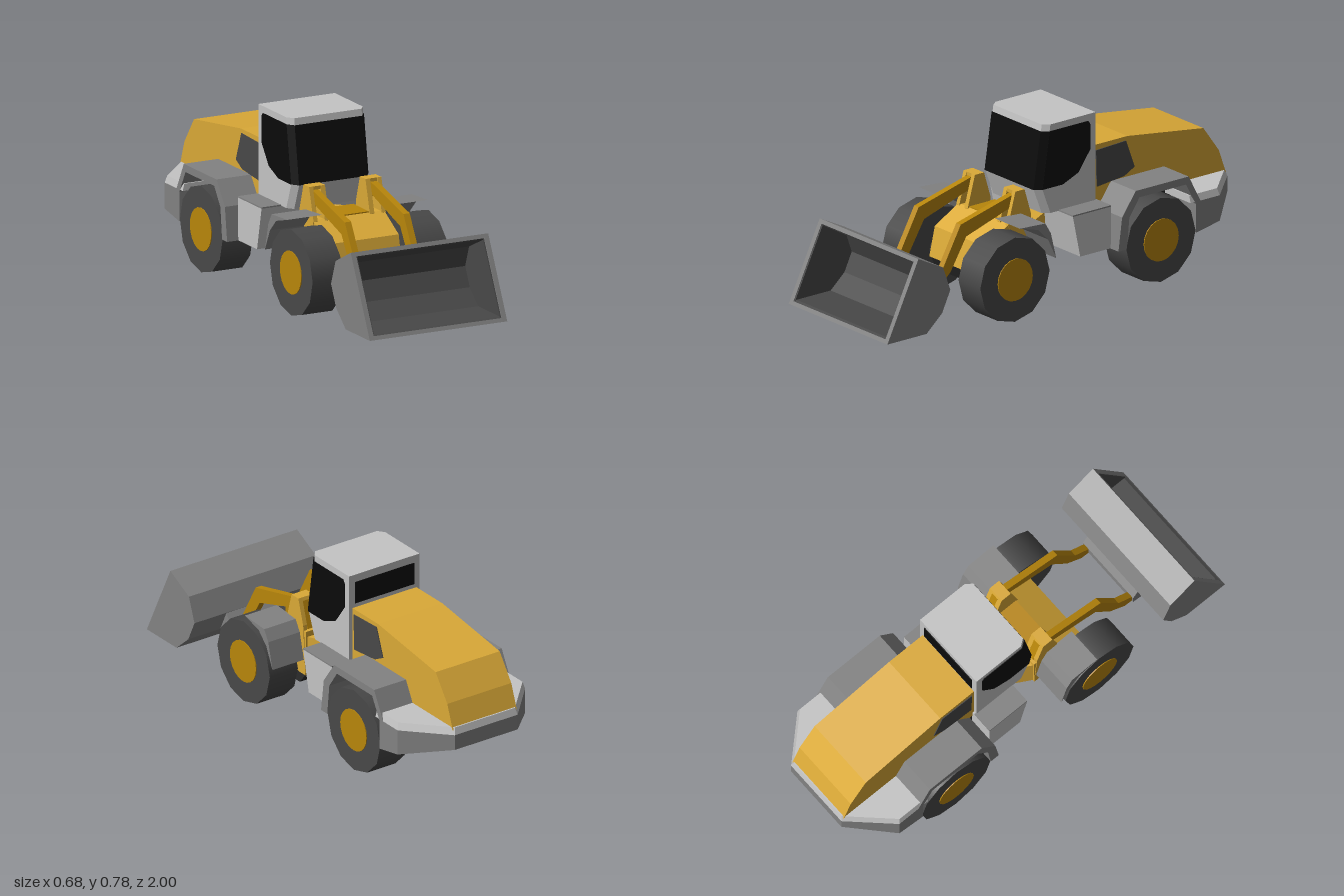
import * as THREE from 'three';
import { ConvexGeometry } from 'three/addons/geometries/ConvexGeometry.js';

const mat = (name, color) => {
  const m = new THREE.MeshStandardMaterial({ color });
  m.name = name;
  return m;
};

export function createModel() {
  const model = new THREE.Group();
  model.name = 'diggingTractor';
  const yellow = mat('bodyYellow', 0xdaa937);
  const gold = mat('darkGold', 0xb8860b);
  const light = mat('lightGrey', 0xc4c4c4);
  const grey = mat('midGrey', 0x828282);
  const dark = mat('tyreGrey', 0x484848);
  const under = mat('undersideGrey', 0x2c2c2c);
  const black = mat('glassBlack', 0x0b0b0b);

  const add = (name, geo, material) => {
    const m = new THREE.Mesh(geo, material);
    m.name = name;
    model.add(m);
    return m;
  };
  // Side profile of [z, y] points, extruded from x0 to x1
  const side = (name, pts, x0, x1, material) => {
    const s = new THREE.Shape(pts.map(p => new THREE.Vector2(...p)));
    const g = new THREE.ExtrudeGeometry(s, { depth: x1 - x0, bevelEnabled: false });
    return add(name, g.rotateY(-Math.PI / 2).translate(x1, 0, 0), material);
  };
  // Same profile on both sides of the machine
  const pair = (name, pts, x0, x1, material) => {
    side(name + 'Left', pts, x0, x1, material);
    side(name + 'Right', pts, -x1, -x0, material);
  };
  // Plan outline given as its left half of [x, z] points, extruded upwards
  const planGeo = (half, y0, y1) => {
    const pts = [...half, ...half.map(([x, z]) => [-x, z]).reverse()];
    const s = new THREE.Shape(pts.map(([x, z]) => new THREE.Vector2(x, -z)));
    return new THREE.ExtrudeGeometry(s, { depth: y1 - y0, bevelEnabled: false })
      .rotateX(-Math.PI / 2).translate(0, y0, 0);
  };
  const box = (name, x0, x1, y0, y1, z0, z1, material) =>
    add(name, new THREE.BoxGeometry(x1 - x0, y1 - y0, z1 - z0)
      .translate((x0 + x1) / 2, (y0 + y1) / 2, (z0 + z1) / 2), material);
  const drum = (name, r, n, x0, x1, z, material) =>
    add(name, new THREE.CylinderGeometry(r, r, x1 - x0, n).rotateZ(Math.PI / 2)
      .translate((x0 + x1) / 2, 0.19, z), material);

  // Wheels, hubs and axles
  for (const [end, z] of [['front', 0.3], ['rear', -0.5]]) {
    for (const s of [1, -1]) {
      const c = s * 0.2585;
      drum(end + 'Wheel', 0.19, 12, c - 0.0735, c + 0.0735, z, dark);
      const h = s * 0.332;
      drum(end + 'Hub', 0.095, 20, h - 0.004, h + 0.004, z, gold);
    }
    drum(end + 'Axle', 0.05, 12, -0.2, 0.2, z, under);
  }

  // Rear chassis, engine cover and side vents
  side('rearChassis', [[-0.1, 0.19], [-0.75, 0.18], [-0.75, 0.35], [-0.1, 0.36]], -0.164, 0.164, under);
  side('engineCover', [[-0.26, 0.34], [-0.99, 0.34], [-0.95, 0.45], [-0.866, 0.567],
    [-0.45, 0.625], [-0.26, 0.625]], -0.168, 0.168, yellow);
  pair('sideVent', [[-0.275, 0.6], [-0.44, 0.607], [-0.487, 0.48], [-0.43, 0.45], [-0.28, 0.435]],
    0.168, 0.172, dark);

  // Counterweight with a rising underside and a bevelled light rim
  const cw = planGeo([[0.335, -0.69], [0.335, -0.82], [0.165, -1]], 0.18, 0.32);
  const p = cw.attributes.position;
  for (let i = 0; i < p.count; i++) {
    if (p.getY(i) < 0.25) p.setY(i, 0.18 + 0.25 * Math.max(0, -0.72 - p.getZ(i)));
  }
  cw.computeVertexNormals();
  add('counterweight', cw, [under, grey]);
  const rim = [];
  for (const s of [1, -1]) {
    for (const [y, d] of [[0.32, 0], [0.352, 0.008]]) {
      for (const [x, z] of [[0.335, -0.66], [0.335, -0.82], [0.165, -1]]) {
        rim.push(new THREE.Vector3(s * (x - d), y, z < -0.7 ? z + d : z));
      }
    }
  }
  add('counterweightRim', new ConvexGeometry(rim), light);

  // Rear mudguards
  pair('rearMudguard', [[-0.265, 0.19], [-0.285, 0.34], [-0.36, 0.443], [-0.65, 0.443], [-0.72, 0.31],
    [-0.69, 0.31], [-0.635, 0.41], [-0.38, 0.41], [-0.325, 0.33], [-0.31, 0.19]], 0.165, 0.335, grey);

  // Cab base with step tops
  side('cabBase', [[-0.06, 0.378], [-0.1, 0.19], [-0.27, 0.19], [-0.27, 0.378]], -0.28, 0.28, light);
  pair('stepTop', [[-0.06, 0.384], [-0.06, 0.378], [-0.27, 0.378], [-0.27, 0.384]], 0.18, 0.28, grey);

  // Cab shell with chamfered front corners
  const cab = [];
  for (const s of [1, -1]) {
    for (const [y, zf] of [[0.38, 0.016], [0.495, 0.06], [0.78, 0.016]]) {
      cab.push(new THREE.Vector3(s * 0.185, y, -0.262), new THREE.Vector3(s * 0.185, y, zf - 0.03),
        new THREE.Vector3(s * 0.163, y, zf));
    }
  }
  add('cab', new ConvexGeometry(cab), light);

  // Cab glass
  const pane = [];
  for (const s of [1, -1]) {
    for (const [y, zf] of [[0.495, 0.06], [0.75, 0.021]]) {
      pane.push(new THREE.Vector3(s * 0.188, y, zf - 0.03), new THREE.Vector3(s * 0.165, y, zf + 0.003));
    }
  }
  add('windscreen', new ConvexGeometry(pane), black);
  pair('sideWindow', [[0.032, 0.495], [-0.008, 0.75], [-0.22, 0.75], [-0.23, 0.735], [-0.23, 0.62],
    [-0.165, 0.53], [-0.08, 0.495]], 0.184, 0.188, black);
  box('rearWindow', -0.155, 0.155, 0.645, 0.745, -0.266, -0.26, black);

  // Articulated joint and front frame
  add('joint', planGeo([[0.17, 0.08], [0.1, -0.045], [0.05, -0.1]], 0.17, 0.35), yellow);
  side('frontFrame', [[0.07, 0.375], [0.2, 0.375], [0.33, 0.3], [0.36, 0.17], [0.07, 0.17]],
    -0.172, 0.172, yellow);
  box('frameDeck', -0.1, 0.1, 0.373, 0.38, 0.06, 0.2, gold);
  side('frontChassis', [[0.08, 0.17], [0.36, 0.17], [0.33, 0.11], [0.13, 0.11]], -0.16, 0.16, under);

  // Front mudguards
  pair('frontMudguard', [[0.28, 0.418], [0.14, 0.41], [0.11, 0.36], [0.08, 0.24], [0.125, 0.335],
    [0.18, 0.39]], 0.172, 0.34, grey);

  // Lift towers: two cheeks, a back web and a cap, with the lift arms between
  const cheek = [[0.17, 0.515], [0.12, 0.515], [0.085, 0.4], [0.07, 0.17], [0.12, 0.17], [0.21, 0.37]];
  pair('towerOuterCheek', cheek, 0.155, 0.175, yellow);
  pair('towerInnerCheek', cheek, 0.098, 0.12, yellow);
  pair('towerWeb', [[0.13, 0.5], [0.115, 0.5], [0.08, 0.38], [0.13, 0.37]], 0.12, 0.155, gold);
  pair('towerCap', [[0.17, 0.515], [0.12, 0.515], [0.115, 0.5], [0.17, 0.5]], 0.12, 0.155, yellow);
  pair('liftArm', [[0.155, 0.5], [0.455, 0.425], [0.555, 0.245], [0.635, 0.185], [0.635, 0.145],
    [0.59, 0.15], [0.51, 0.225], [0.425, 0.365], [0.155, 0.45]], 0.127, 0.157, gold);

  // Bucket: side plates, bent wall, dark lining and rear bracket
  const outer = [[1, 0.055], [0.785, 0.055], [0.7, 0.13], [0.655, 0.225], [0.695, 0.335], [0.83, 0.403]];
  const middle = [[0.992, 0.071], [0.791, 0.071], [0.713, 0.139], [0.672, 0.226], [0.707, 0.324], [0.838, 0.386]];
  const inner = [[0.98, 0.076], [0.793, 0.076], [0.717, 0.142], [0.677, 0.226], [0.711, 0.32], [0.835, 0.379]];
  pair('bucketSide', outer, 0.31, 0.333, grey);
  side('bucketWall', [...outer, ...[...middle].reverse()], -0.31, 0.31, grey);
  side('bucketLining', [...middle, ...[...inner].reverse()], -0.309, 0.309, dark);
  pair('bucketSideLining', middle.map(([z, y]) => [z - 0.004, y]), 0.305, 0.311, dark);
  side('bucketBracket', [[0.665, 0.235], [0.63, 0.19], [0.63, 0.145], [0.705, 0.13]], -0.165, 0.165, grey);

  return model;
}
